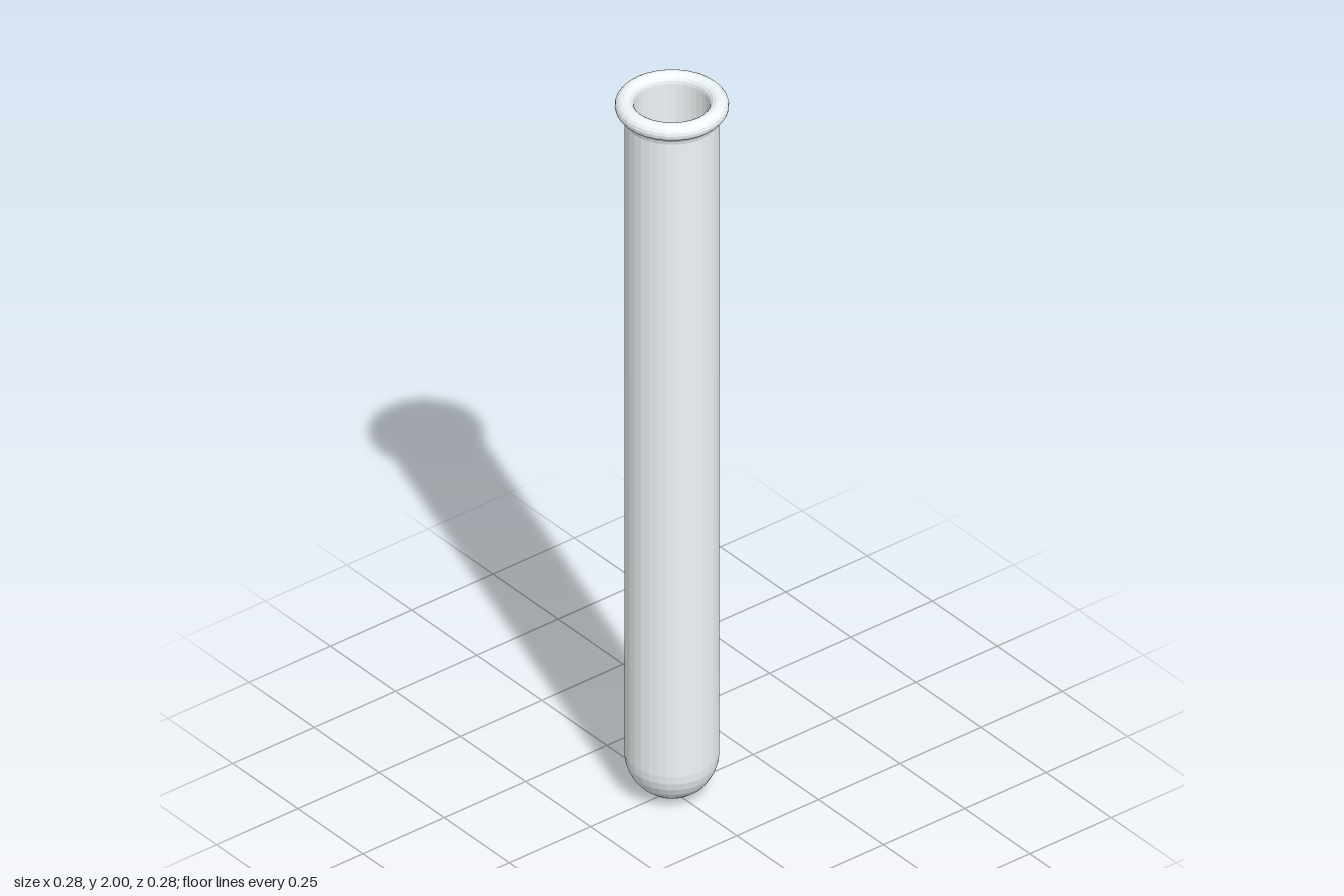
import * as THREE from 'three';

const SIDES = 32;
const OUTER = 0.115, INNER = 0.093, HEIGHT = 2;
const LIP_X = 0.023, LIP_Y = 0.022;

// Points along an elliptical arc, angles in quarter turns
function arc(cx, cy, rx, ry, from, to, steps) {
  return Array.from({ length: steps + 1 }, (_, i) => {
    const a = (from + ((to - from) * i) / steps) * Math.PI / 2;
    return new THREE.Vector2(Math.max(0, cx + rx * Math.cos(a)), cy + ry * Math.sin(a));
  });
}

export function createModel() {
  const group = new THREE.Group();
  group.name = 'testTube';
  const material = new THREE.MeshStandardMaterial({ color: 0xeff5f7, flatShading: true });

  const addLathe = (name, points) => {
    const mesh = new THREE.Mesh(new THREE.LatheGeometry(points, SIDES), material);
    mesh.name = name;
    group.add(mesh);
  };

  const lipY = HEIGHT - LIP_Y;
  const flareY = 1.94;

  // Round bottom and straight outer wall, running up to the flare
  addLathe('outerWall', [
    ...arc(0, OUTER, OUTER, OUTER, -1, 0, 8),
    new THREE.Vector2(OUTER, flareY),
  ]);

  // Rolled lip: flared underside, round bead, then over the top to the inner wall
  addLathe('lip', [
    new THREE.Vector2(OUTER, flareY),
    new THREE.Vector2(0.118, 1.95),
    new THREE.Vector2(0.126, 1.959),
    ...arc(OUTER, lipY, LIP_X, LIP_Y, -0.5, 2, 10),
  ]);

  // Inner wall down to the hollow round bottom
  addLathe('innerWall', [
    new THREE.Vector2(OUTER - LIP_X, lipY),
    ...arc(0, OUTER, INNER, INNER, 0, -1, 8),
  ]);

  return group;
}
